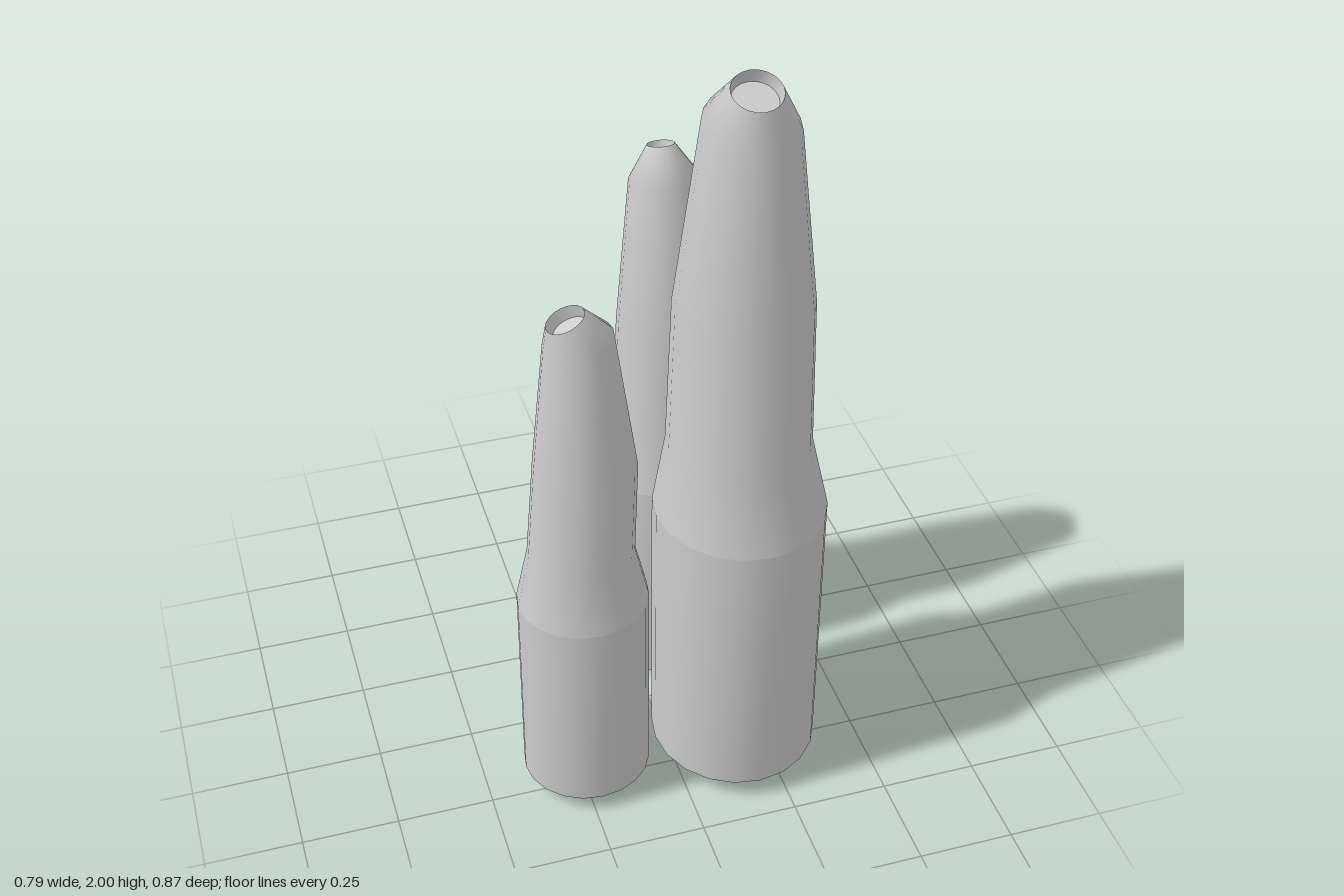
import * as THREE from 'three';

const SIDES = 20;

// Skin a list of rings. Each ring: [cx, y, cz, rx, rz, slopeX, slopeZ]
function loft(rings, closeEnd = false) {
  const pos = [], index = [];
  for (const [cx, y, cz, rx, rz, sx = 0, sz = 0] of rings) {
    for (let i = 0; i < SIDES; i++) {
      const a = (i / SIDES) * Math.PI * 2;
      const dx = Math.sin(a) * rx, dz = Math.cos(a) * rz;
      pos.push(cx + dx, y + dx * sx + dz * sz, cz + dz);
    }
  }
  for (let r = 0; r < rings.length - 1; r++) {
    for (let i = 0; i < SIDES; i++) {
      const j = (i + 1) % SIDES;
      const a = r * SIDES + i, b = r * SIDES + j;
      index.push(a, b, b + SIDES, a, b + SIDES, a + SIDES);
    }
  }
  if (closeEnd) {
    const [cx, y, cz] = rings[rings.length - 1];
    const c = pos.length / 3, last = (rings.length - 1) * SIDES;
    pos.push(cx, y, cz);
    for (let i = 0; i < SIDES; i++) index.push(last + i, last + (i + 1) % SIDES, c);
  }
  const g = new THREE.BufferGeometry();
  g.setAttribute('position', new THREE.Float32BufferAttribute(pos, 3));
  g.setIndex(index);
  g.computeVertexNormals();
  return g;
}

// bottom: height of the open foot; rings run from the sleeve's top edge to the slanted tip
const SPIRES = [
  { name: 'tallSpire', bottom: 0.055, rings: [
    [0.175, 0.82, 0.204, 0.216, 0.23],
    [0.168, 1.02, 0.203, 0.178, 0.185],
    [0.178, 1.4, 0.18, 0.168, 0.175],
    [0.176, 1.87, 0.2, 0.112, 0.116, 0, -0.3],
    [0.17, 1.977, 0.243, 0.06, 0.054, 0, -0.43]] },
  { name: 'leftHandSpire', bottom: 0.045, rings: [
    [-0.23, 0.61, 0.2, 0.166, 0.161],
    [-0.232, 0.76, 0.2, 0.133, 0.13],
    [-0.217, 1.02, 0.2, 0.127, 0.123],
    [-0.227, 1.385, 0.202, 0.083, 0.083, 0.18, 0],
    [-0.259, 1.452, 0.212, 0.045, 0.045, 0.41, 0]] },
  { name: 'rearSpire', bottom: 0, rings: [
    [0.122, 0.63, -0.255, 0.184, 0.18],
    [0.132, 0.79, -0.255, 0.147, 0.146],
    [0.132, 1.08, -0.243, 0.138, 0.142],
    [0.118, 1.495, -0.253, 0.089, 0.089, 0, 0.17],
    [0.112, 1.582, -0.266, 0.034, 0.036, 0, 0.3]] },
];

export function createModel() {
  const model = new THREE.Group();
  const material = new THREE.MeshStandardMaterial({ color: 0xcccccc, side: THREE.DoubleSide });
  const add = (group, name, geometry) => {
    const mesh = new THREE.Mesh(geometry, material);
    mesh.name = name;
    group.add(mesh);
  };
  for (const { name, bottom, rings } of SPIRES) {
    const group = new THREE.Group();
    group.name = name;
    const foot = [...rings[0]];
    foot[1] = bottom;
    // Straight sleeve, open below
    add(group, 'sleeve', loft([foot, rings[0]]));
    // Tapered, gently bent body
    add(group, 'taperedBody', loft(rings));
    // Shallow recess sunk into the slanted tip
    const tip = rings[rings.length - 1];
    const [cx, y, cz, rx, rz, sx, sz] = tip;
    const floor = [cx + sx * 0.03, y - 0.03, cz + sz * 0.03, rx * 0.9, rz * 0.9, sx, sz];
    add(group, 'tipRecessWall', loft([tip, floor]));
    add(group, 'tipRecessFloor', loft([floor], true));
    model.add(group);
  }
  return model;
}
